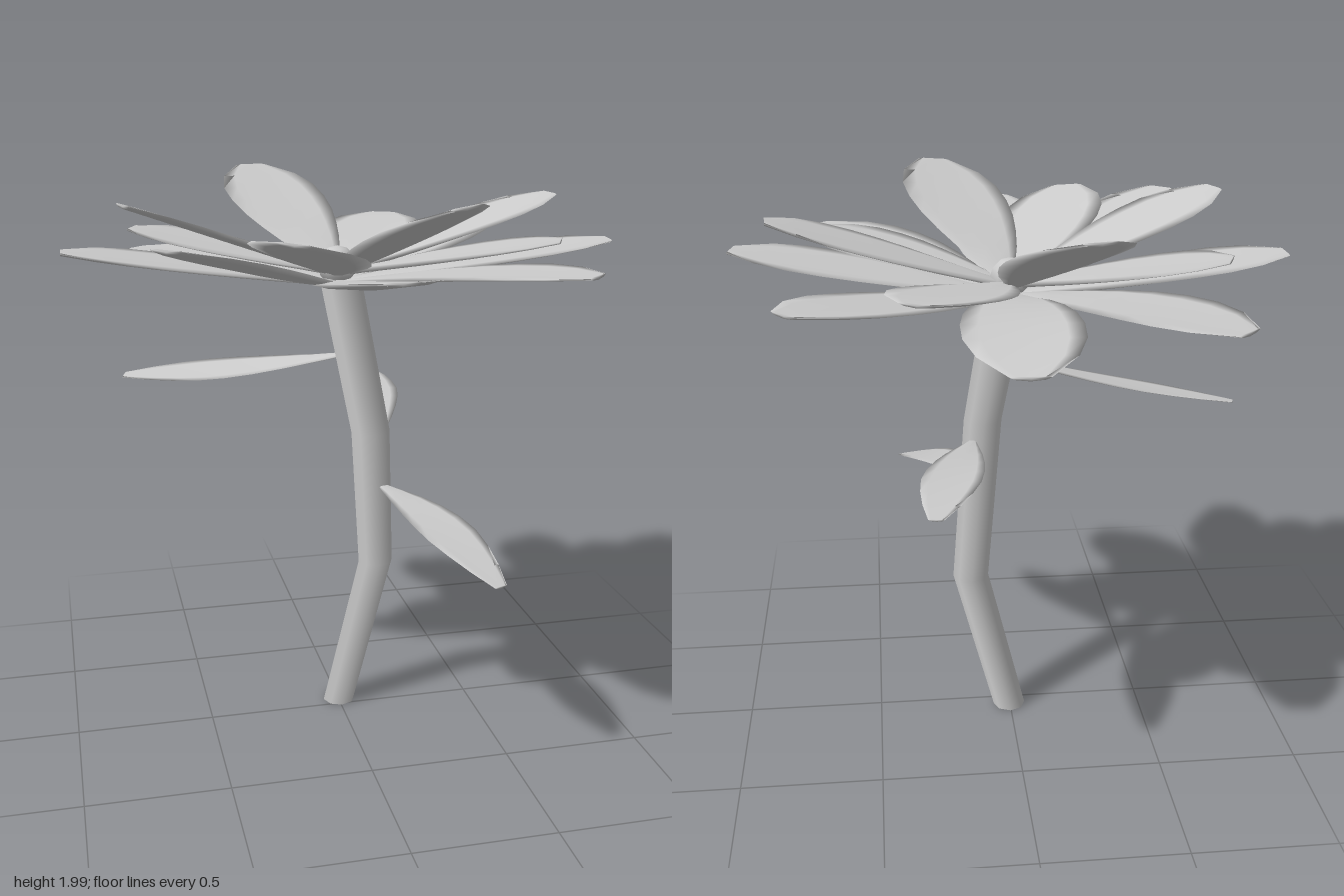
import * as THREE from 'three';
import { mergeVertices } from 'three/addons/utils/BufferGeometryUtils.js';

const grey = new THREE.MeshStandardMaterial({ color: 0xcccccc });
const UP = new THREE.Vector3(0, 1, 0);

// Half widths from base to tip, evenly spaced
const PETAL = [0.03, 0.07, 0.115, 0.15, 0.177, 0.19, 0.186, 0.15, 0.06];
const LEAF = [0.015, 0.04, 0.065, 0.085, 0.098, 0.1, 0.085, 0.06, 0.025];

// Flattened closed blade from base to tip; bow arches its length, cup lifts its edges,
// roll tilts it sideways, thick is half its depth along the middle
function blade(name, base, tip, widths, { bow = 0, cup = 0.014, roll = 0, thick = 0.014 }) {
  const start = new THREE.Vector3(...base);
  const end = new THREE.Vector3(...tip);
  const side = end.clone().sub(start).cross(UP).normalize();
  const rows = widths.length - 1;
  let geo = new THREE.CylinderGeometry(1, 1, 1, 8, rows);
  const pos = geo.attributes.position;
  const p = new THREE.Vector3();
  for (let i = 0; i < pos.count; i++) {
    const u = pos.getX(i);
    const v = pos.getZ(i);
    const t = pos.getY(i) + 0.5;
    const w = widths[Math.round(t * rows)];
    p.lerpVectors(start, end, t).addScaledVector(side, u * w);
    p.y += bow * Math.sin(Math.PI * t) + (cup * u * u + roll * u) * (w / 0.19);
    p.y += v * thick * (1 - 0.5 * t);
    pos.setXYZ(i, p.x, p.y, p.z);
  }
  // Weld the seam and ends so the shading is smooth all round
  geo.deleteAttribute('normal');
  geo.deleteAttribute('uv');
  geo = mergeVertices(geo);
  geo.computeVertexNormals();
  const mesh = new THREE.Mesh(geo, grey);
  mesh.name = name;
  return mesh;
}

// Ring of petals around the flower centre; each entry is tip x, y, z, bow and roll
function petals(name, baseY, list) {
  const group = new THREE.Group();
  group.name = name;
  for (const [x, y, z, bow = 0, roll = 0] of list) {
    const a = Math.atan2(z + 0.05, x);
    const base = [0.03 * Math.cos(a), baseY, -0.05 + 0.03 * Math.sin(a)];
    group.add(blade('petal', base, [x, y, z], PETAL, { bow, roll }));
  }
  return group;
}

// Crooked stem: a cylinder whose rings are moved to the bend points
function stem() {
  const bends = [[0.003, 0, -0.045], [0.147, 0.57, -0.048], [0.086, 1.13, 0.103], [0.01, 1.65, -0.037]];
  const geo = new THREE.CylinderGeometry(0.075, 0.06, 1, 8, 3);
  const pos = geo.attributes.position;
  for (let i = 0; i < pos.count; i++) {
    const [x, y, z] = bends[Math.round((pos.getY(i) + 0.5) * 3)];
    pos.setXYZ(i, pos.getX(i) + x, y, pos.getZ(i) + z);
  }
  const mesh = new THREE.Mesh(geo, grey);
  mesh.name = 'stem';
  return mesh;
}

export function createModel() {
  const flower = new THREE.Group();
  flower.name = 'flower';
  flower.add(stem());

  // Lower and upper petal rings
  flower.add(petals('outerPetals', 1.64, [
    [0.03, 1.625, -0.92, 0.055],
    [0.72, 1.77, -0.72],
    [0.95, 1.78, 0.10],
    [0.67, 1.75, 0.66, 0.015],
    [-0.03, 1.80, 0.91, -0.01],
    [-0.66, 1.87, 0.63, -0.01],
    [-0.95, 1.77, -0.08],
    [-0.65, 1.68, -0.73, 0.025],
  ]));
  flower.add(petals('innerPetals', 1.68, [
    [-0.18, 1.98, -0.82],
    [0.34, 1.79, -0.72],
    [0.81, 1.92, -0.12],
    [0.69, 1.81, 0.30],
    [0.22, 1.98, 0.71, 0, -0.02],
    [-0.29, 1.88, 0.66, -0.01, 0.02],
    [-0.75, 1.95, 0.18],
    [-0.69, 1.81, -0.34],
  ]));

  // Round centre
  const bud = new THREE.Mesh(new THREE.SphereGeometry(0.07, 8, 6), grey);
  bud.name = 'bud';
  bud.position.set(0, 1.7, -0.05);
  flower.add(bud);

  // Three leaves along the stem
  flower.add(
    blade('leaf', [-0.01, 1.39, 0.01], [-0.75, 1.295, -0.25], LEAF, { bow: -0.015, roll: 0.03, thick: 0.007 }),
    blade('leaf', [0.13, 0.915, 0.08], [0.37, 0.76, 0.72], LEAF, { bow: 0.035, thick: 0.007 }),
    blade('leaf', [0.13, 1.07, 0.03], [0.3, 1.13, -0.77], LEAF, { bow: 0.02, thick: 0.007 })
  );
  return flower;
}
